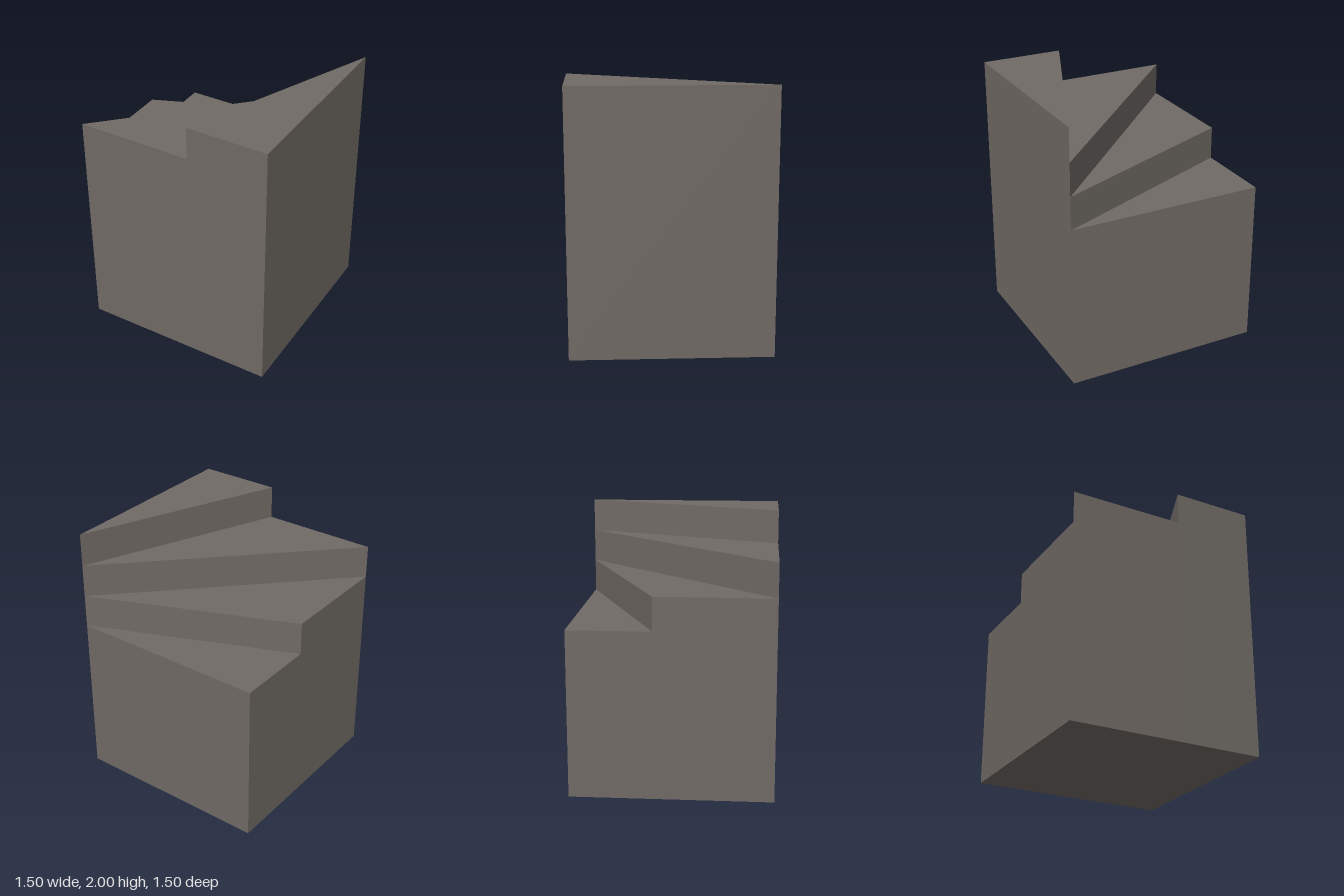
import * as THREE from 'three';

const HALF = 0.75, BASE = 1.25, RISE = 0.25;

// Flat mesh from planar convex polygons (corners counter-clockwise seen from outside)
function polygonMesh(name, polygons, material) {
  const positions = [];
  for (const p of polygons)
    for (let i = 1; i < p.length - 1; i++) positions.push(...p[0], ...p[i], ...p[i + 1]);
  const geometry = new THREE.BufferGeometry();
  geometry.setAttribute('position', new THREE.Float32BufferAttribute(positions, 3));
  geometry.computeVertexNormals();
  const mesh = new THREE.Mesh(geometry, material);
  mesh.name = name;
  return mesh;
}

export function createModel() {
  const group = new THREE.Group();
  group.name = 'windingStairs';
  const stone = new THREE.MeshStandardMaterial({ color: 0x706a65 });
  stone.name = 'stone';

  // Wedge steps fan out from one corner in equal 22.5 degree turns
  const cut = 2 * HALF * Math.tan(Math.PI / 8) - HALF;
  const pivot = [HALF, -HALF];
  const rim = [[-HALF, -HALF], [-HALF, cut], [-HALF, HALF], [-cut, HALF], [HALF, HALF]];
  const at = ([x, z], y) => [x, y, z];
  const wall = (a, b, low, high) => [at(a, low), at(b, low), at(b, high), at(a, high)];

  for (let i = 0; i < 4; i++) {
    const top = BASE + i * RISE;
    const step = new THREE.Group();
    step.name = `step${i + 1}`;
    step.add(
      polygonMesh('tread', [[at(pivot, top), at(rim[i], top), at(rim[i + 1], top)]], stone),
      polygonMesh('outerWall', [wall(rim[i], rim[i + 1], 0, top)], stone),
      // The first riser is the full back wall
      polygonMesh(i ? 'riser' : 'backWall', [wall(pivot, rim[i], i ? top - RISE : 0, top)], stone)
    );
    group.add(step);
  }

  // Tall side wall behind the highest step, and the underside
  group.add(
    polygonMesh('sideWall', [wall(rim[4], pivot, 0, BASE + 3 * RISE)], stone),
    polygonMesh('underside', [[pivot, rim[4], rim[2], rim[0]].map(p => at(p, 0))], stone)
  );
  return group;
}
